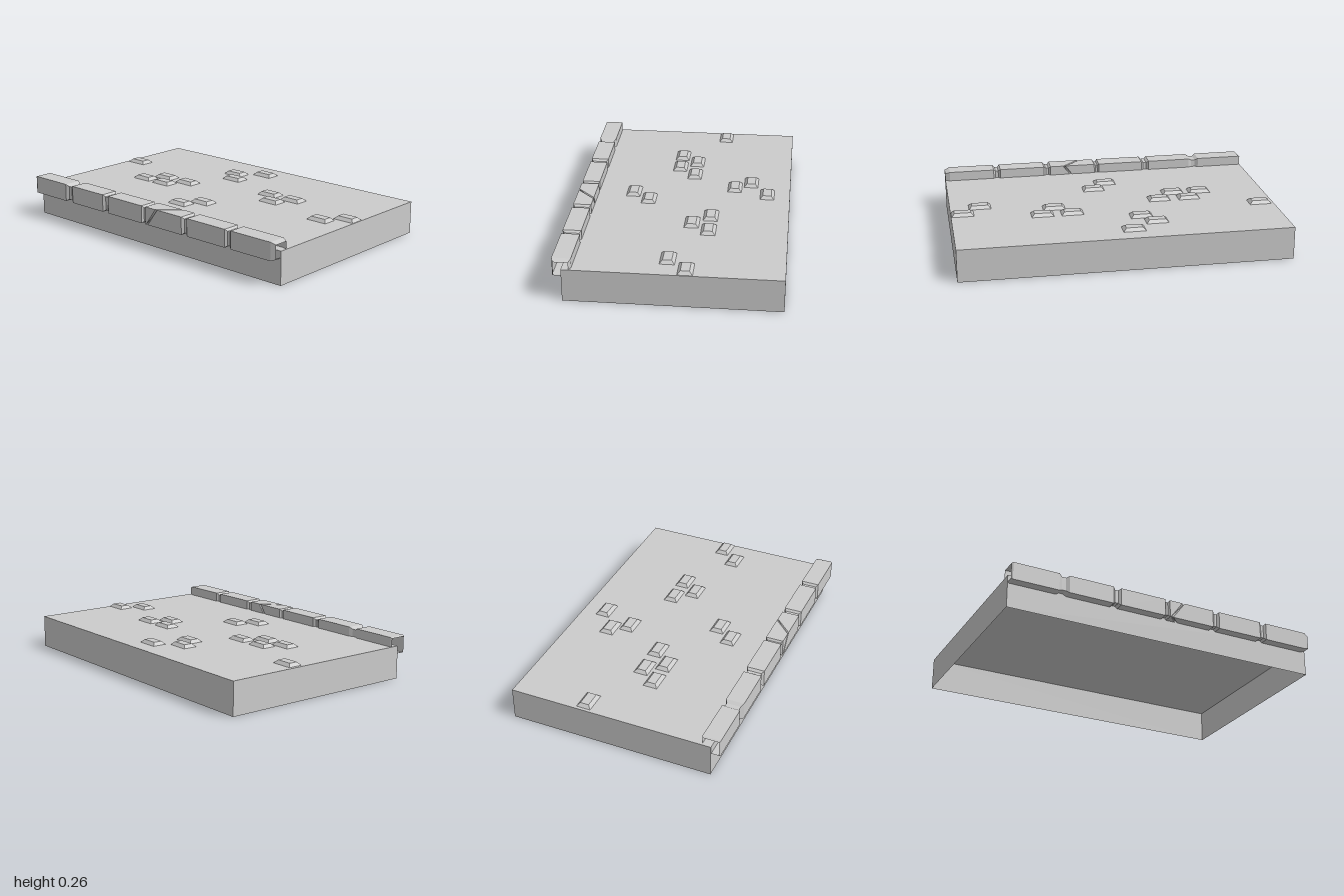
import * as THREE from 'three';

const material = new THREE.MeshStandardMaterial({ color: 0xcccccc, flatShading: true, side: THREE.DoubleSide });

function addMesh(parent, geometry, name) {
  const mesh = new THREE.Mesh(geometry, material);
  mesh.name = name;
  parent.add(mesh);
  return mesh;
}

// Hollow slab without a floor: a box minus its bottom face
function slabGeometry() {
  const g = new THREE.BoxGeometry(2, 0.2, 1.255);
  const index = Array.from(g.index.array);
  index.splice(18, 6);
  g.setIndex(index);
  g.clearGroups();
  return g.translate(0, 0.1, -0.0275);
}

// Paving brick with a top narrower than its base
function brickGeometry() {
  const w = 0.136, h = 0.019, d = 0.088, inset = 0.018;
  const g = new THREE.BoxGeometry(w, h, d);
  const p = g.attributes.position;
  for (let i = 0; i < p.count; i++) {
    if (p.getY(i) < 0) continue;
    p.setX(i, p.getX(i) - Math.sign(p.getX(i)) * inset);
    p.setZ(i, p.getZ(i) - Math.sign(p.getZ(i)) * inset);
  }
  g.computeVertexNormals();
  return g;
}

// Open square tube lofted along x, pinched at stone joints and at a slanted crack
function curbGeometry() {
  const y0 = 0.15, y1 = 0.258, z0 = 0.545, z1 = 0.655, dip = 0.012;
  // each section: x, inset, slanted
  const sections = [[-1, 0.006, false], [-0.99, 0, false]];
  const joint = (x, half) => sections.push(
    [x - half, 0, false], [x - half * 0.4, dip, false], [x + half * 0.4, dip, false], [x + half, 0, false]);
  joint(-0.675, 0.032);
  joint(-0.34, 0.025);
  joint(-0.008, 0.016);
  sections.push([-0.008, 0, true], [-0.001, 0.012, true], [0.001, 0.012, true], [0.008, 0, true]);
  joint(0.325, 0.022);
  joint(0.66, 0.022);
  sections.push([0.97, 0, false], [1, dip, false]);

  const pos = [], index = [];
  sections.forEach(([x, inset, slanted], s) => {
    const corners = [[y0, z1], [y1, z1], [y1, z0], [y0, z0]];
    corners.forEach(([y, z], c) => {
      const shift = slanted ? 0.1 + (y - y1) * 0.74 + (z1 - z) * 1.0 : 0;
      pos.push(x + shift, y + (y === y0 ? inset : -inset), z + (z === z0 ? inset : -inset));
      if (s === 0) return;
      const a = (s - 1) * 4 + c, b = (s - 1) * 4 + (c + 1) % 4;
      index.push(a, a + 4, b + 4, a, b + 4, b);
    });
  });
  const g = new THREE.BufferGeometry();
  g.setAttribute('position', new THREE.Float32BufferAttribute(pos, 3));
  g.setIndex(index);
  const flat = g.toNonIndexed();
  flat.computeVertexNormals();
  return flat;
}

export function createModel() {
  const group = new THREE.Group();
  group.name = 'pavementSection';
  addMesh(group, slabGeometry(), 'slab');
  addMesh(group, curbGeometry(), 'curb');

  // Scattered raised bricks: x, z
  const bricks = new THREE.Group();
  bricks.name = 'bricks';
  group.add(bricks);
  const brick = brickGeometry();
  [
    [-0.053, -0.513], [-0.214, -0.406], [-0.139, -0.305], [-0.914, -0.198],
    [0.267, -0.184], [0.45, -0.184], [0.366, -0.078], [0.928, -0.096], [0.816, 0.016],
    [-0.497, -0.035], [-0.307, -0.035], [-0.588, 0.07], [-0.417, 0.07],
    [0.07, 0.219], [-0.021, 0.324],
  ].forEach(([x, z]) => addMesh(bricks, brick, 'brick').position.set(x, 0.2105, z));
  return group;
}
